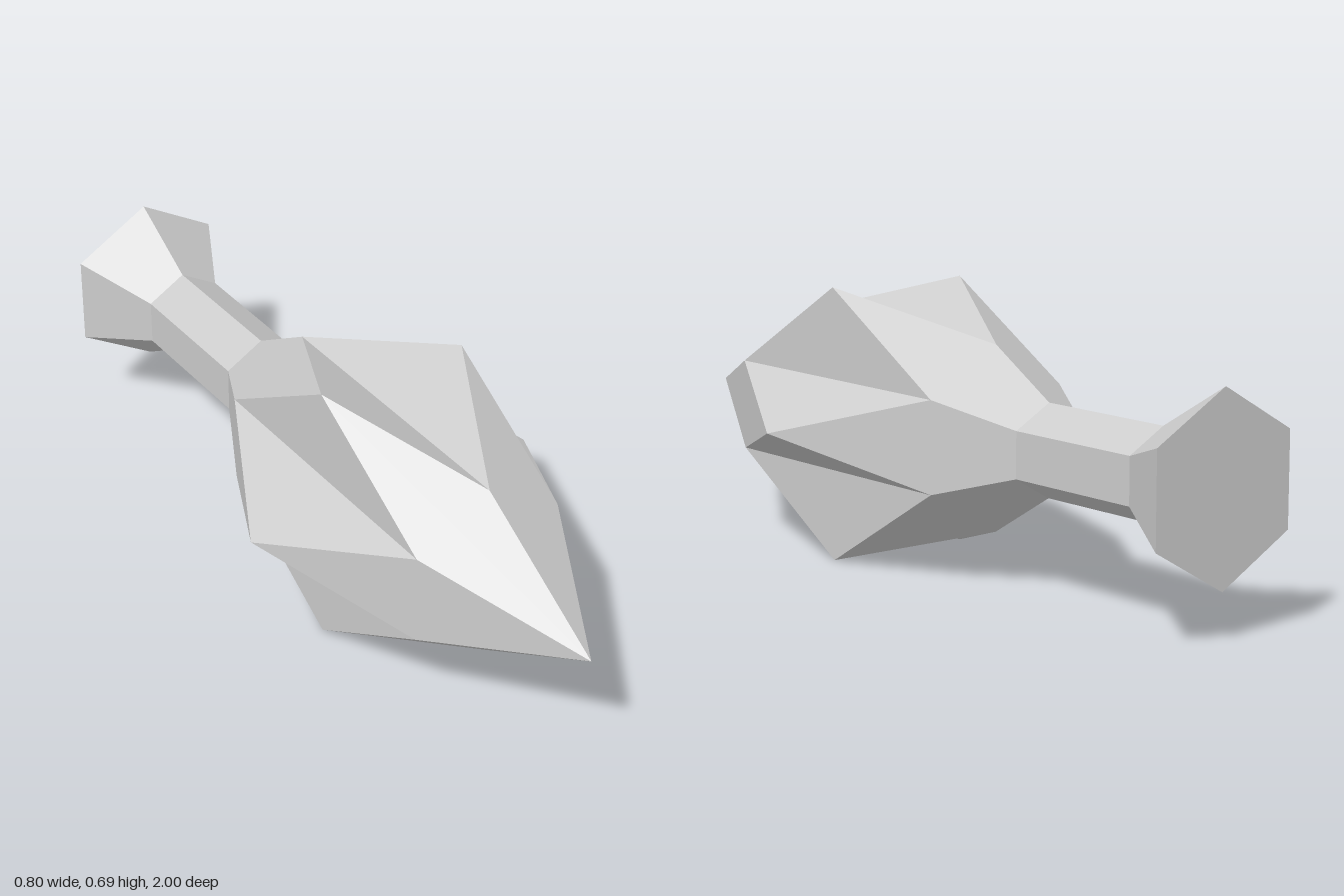
import * as THREE from 'three';

const AXIS_Y = 0.3464; // height of the long axis
const VALLEY = 0.2309; // radius of the valleys between points
const NECK = VALLEY / 2;

export function createModel() {
  const group = new THREE.Group();
  group.name = 'starMace';
  const grey = new THREE.MeshStandardMaterial({ color: 0xcccccc });
  grey.name = 'plain grey';
  grey.flatShading = true;

  const at = (radius, degrees, z) => {
    const a = THREE.MathUtils.degToRad(degrees);
    return [radius * Math.cos(a), radius * Math.sin(a), z];
  };

  // Star head: six points, each with front, side and rear facets
  const positions = [];
  const face = (...p) => {
    for (let i = 1; i < p.length - 1; i++) positions.push(...p[0], ...p[i], ...p[i + 1]);
  };
  const tip = [0, 0, 1];
  for (let a = 0; a < 360; a += 60) {
    const point = at(0.4, a, 0.2);
    const [f0, f1] = [a - 30, a + 30].map((d) => at(VALLEY, d, 0.6));
    const [b0, b1] = [a - 30, a + 30].map((d) => at(VALLEY, d, -0.2));
    const [n0, n1] = [a - 30, a + 30].map((d) => at(NECK, d, -0.4));
    face(tip, f0, point, f1);
    face(point, b1, f1);
    face(point, f0, b0);
    face(point, b0, n0, n1, b1);
  }
  const headGeometry = new THREE.BufferGeometry();
  headGeometry.setAttribute('position', new THREE.Float32BufferAttribute(positions, 3));
  headGeometry.computeVertexNormals();
  const head = new THREE.Mesh(headGeometry, grey);
  head.name = 'starHead';
  head.position.y = AXIS_Y;
  group.add(head);

  // Six-sided sections along z
  const section = (name, frontRadius, backRadius, frontZ, backZ, open) => {
    const geometry = new THREE.CylinderGeometry(frontRadius, backRadius, frontZ - backZ, 6, 1, open);
    geometry.rotateX(Math.PI / 2);
    const mesh = new THREE.Mesh(geometry, grey);
    mesh.name = name;
    mesh.position.set(0, AXIS_Y, (frontZ + backZ) / 2);
    group.add(mesh);
  };
  section('handle', NECK, NECK, -0.4, -0.8, true);
  section('pommel', NECK, VALLEY, -0.8, -1, false);

  return group;
}
